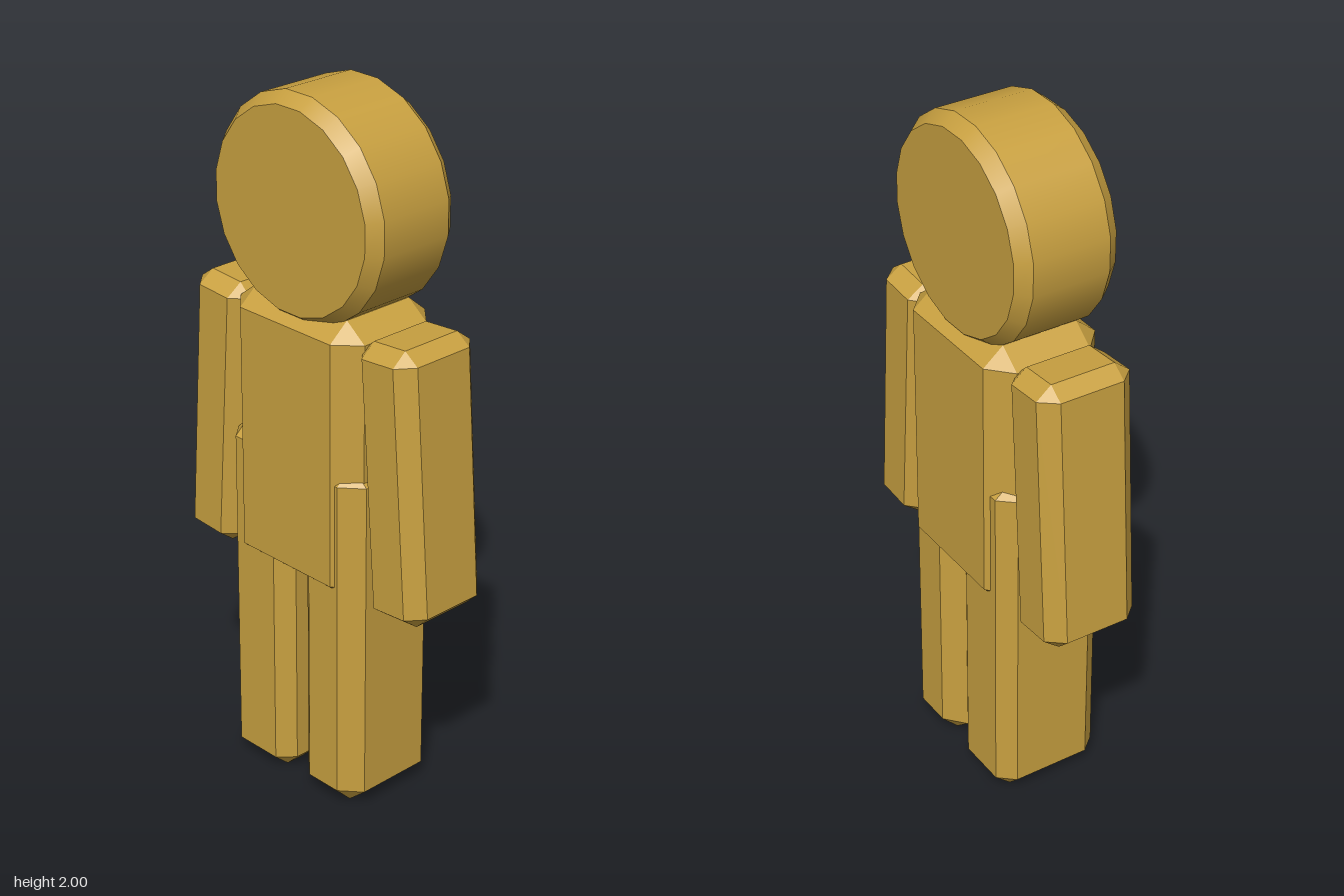
import * as THREE from 'three';
import { ConvexGeometry } from 'three/addons/geometries/ConvexGeometry.js';
import { mergeGeometries } from 'three/addons/utils/BufferGeometryUtils.js';

const material = new THREE.MeshStandardMaterial({ color: 0xc8a040 });

// Box with every edge chamfered; size and chamfer given per axis
function chamferBox(size, chamfer) {
  const points = [];
  for (const sx of [-1, 1]) for (const sy of [-1, 1]) for (const sz of [-1, 1]) {
    const signs = [sx, sy, sz];
    // Each corner becomes three points, one on each adjoining face
    for (let face = 0; face < 3; face++) {
      points.push(new THREE.Vector3(...signs.map((s, i) =>
        s * (size[i] / 2 - (i === face ? 0 : chamfer[i])))));
    }
  }
  return new ConvexGeometry(points);
}

// Disc with bevelled rims, lying along x; separate bands keep the rims sharp
function bevelledDisc(radius, capRadius, halfWidth, bevel, sides) {
  const profile = [
    [0, -halfWidth], [capRadius, -halfWidth], [radius, bevel - halfWidth],
    [radius, halfWidth - bevel], [capRadius, halfWidth], [0, halfWidth],
  ].map(([r, y]) => new THREE.Vector2(r, y));
  const bands = [];
  for (let i = 0; i < profile.length - 1; i++) {
    bands.push(new THREE.LatheGeometry([profile[i], profile[i + 1]], sides, Math.PI / sides));
  }
  return mergeGeometries(bands).rotateZ(Math.PI / 2);
}

export function createModel() {
  const model = new THREE.Group();
  const add = (name, geometry, x, y, z, tilt = 0) => {
    const mesh = new THREE.Mesh(geometry, material);
    mesh.name = name;
    mesh.position.set(x, y, z);
    mesh.rotation.x = tilt;
    model.add(mesh);
  };

  add('head', bevelledDisc(0.309, 0.279, 0.151, 0.038, 20), -0.002, 1.695, 0);
  add('torso', chamferBox([0.342, 0.8, 0.47], [0.06, 0.05, 0.065]), 0, 1.04, 0);

  // Arms hang slightly outward
  add('armFront', chamferBox([0.278, 0.772, 0.195], [0.046, 0.035, 0.042]), 0, 1.022, 0.333, -0.072);
  add('armBack', chamferBox([0.282, 0.795, 0.195], [0.046, 0.035, 0.042]), 0, 1.022, -0.335, 0.066);

  // Legs reach up inside the torso
  add('legFront', chamferBox([0.322, 1.04, 0.226], [0.05, 0.05, 0.058]), -0.002, 0.52, 0.134);
  add('legBack', chamferBox([0.322, 1.04, 0.226], [0.046, 0.04, 0.04]), -0.002, 0.52, -0.134);

  return model;
}
